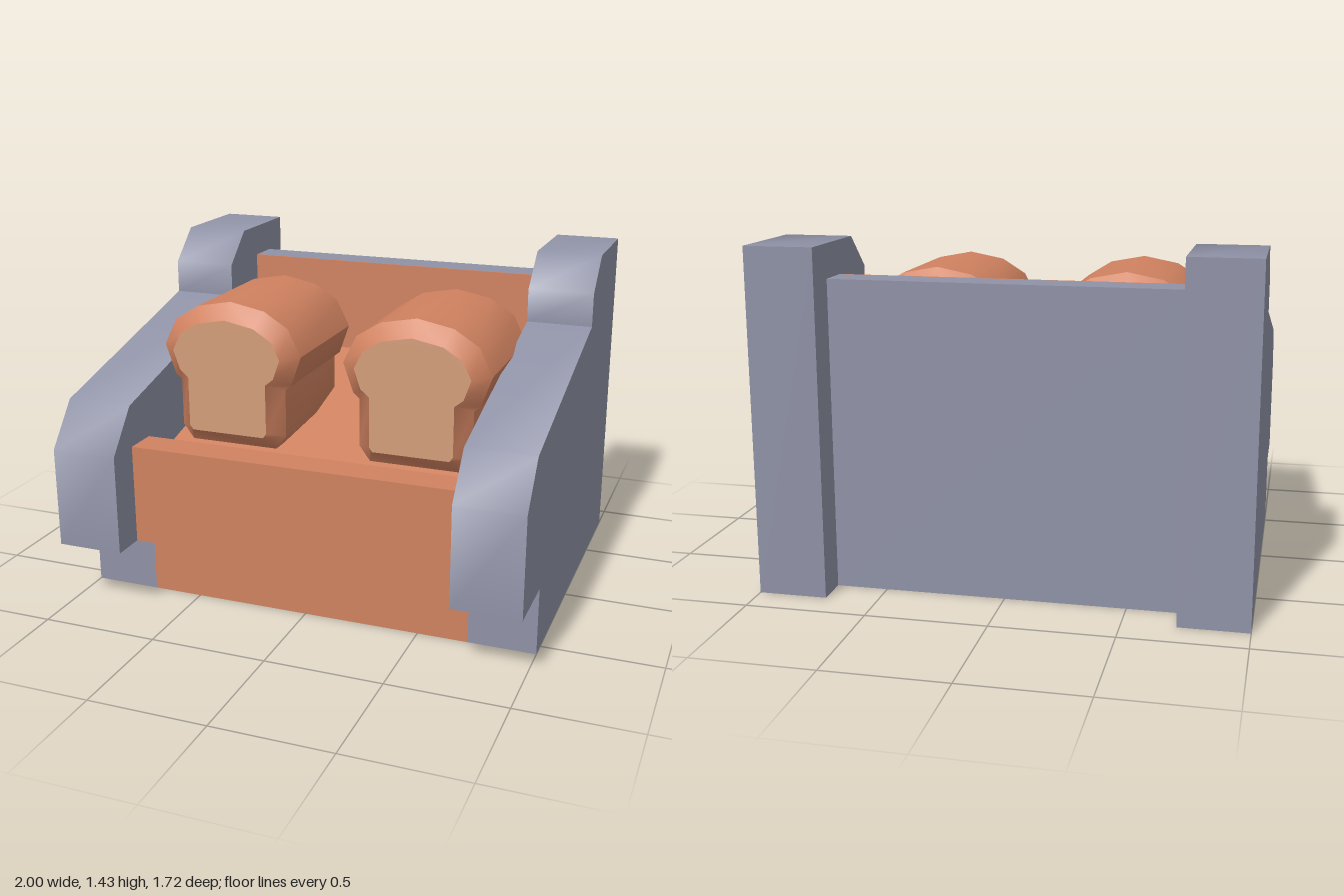
import * as THREE from 'three';
import { toCreasedNormals } from 'three/addons/utils/BufferGeometryUtils.js';

const material = (name, color) => {
  const m = new THREE.MeshStandardMaterial({ color });
  m.name = name;
  return m;
};

const shapeOf = (points) => new THREE.Shape(points.map(([x, y]) => new THREE.Vector2(x, y)));

// Extrudes a (z, y) side profile along x, centred on x = 0
function sideProfile(points, width, crease) {
  const geo = new THREE.ExtrudeGeometry(shapeOf(points), { depth: width, bevelEnabled: false });
  geo.translate(0, 0, -width / 2);
  geo.rotateY(-Math.PI / 2);
  return toCreasedNormals(geo, crease);
}

export function createModel() {
  const group = new THREE.Group();
  const grey = material('blueGreyFrame', 0x8f92a6);
  const orange = material('crustOrange', 0xd08260);
  const tan = material('crumbTan', 0xd49d7a);

  const add = (name, geo, mat, x = 0, y = 0, z = 0) => {
    const mesh = new THREE.Mesh(geo, mat);
    mesh.name = name;
    mesh.position.set(x, y, z);
    group.add(mesh);
  };

  // Stepped side walls, softly shaded along the bent edge
  const wall = sideProfile([
    [-0.86, 0], [0.57, 0], [0.57, 0.29], [0.86, 0.29], [0.86, 0.715],
    [0.715, 0.895], [-0.28, 1.145], [-0.28, 1.29], [-0.43, 1.43], [-0.86, 1.43],
  ], 0.285, 0.87);

  // Base with sloping shelf and raised front lip
  const base = sideProfile([
    [-0.57, 0], [0.57, 0], [0.57, 0.29], [0.715, 0.29], [0.715, 0.715],
    [0.57, 0.715], [0.57, 0.575], [-0.57, 0.86],
  ], 1.43, 0.2);
  add('shelfBase', base, orange);

  // Back panel with its inner lining
  add('backPanel', new THREE.BoxGeometry(1.43, 1.29, 0.141), grey, 0, 0.645, -0.6495);
  add('backLining', new THREE.BoxGeometry(1.43, 0.45, 0.009), orange, 0, 1.065, -0.5745);

  // Loaf: cut face outline, with the crust swelling outwards as a bevel
  const half = [
    [0.165, 0.715], [0.18, 0.735], [0.18, 0.95], [0.217, 0.98],
    [0.247, 1.065], [0.21, 1.14], [0.13, 1.19],
  ];
  const outline = [...half, [0, 1.215], ...half.map(([x, y]) => [-x, y]).reverse()];
  const loaf = toCreasedNormals(new THREE.ExtrudeGeometry(shapeOf(outline), {
    depth: 0.57, bevelThickness: 0.065, bevelSize: 0.065, bevelSegments: 1,
  }), 0.72);
  loaf.translate(0, 0, -0.21);

  for (const [side, s] of [['left', 1], ['right', -1]]) {
    add(side + 'Wall', wall, grey, s * 0.8575);
    add(side + 'Loaf', loaf, [tan, orange], s * 0.412);
  }
  return group;
}
